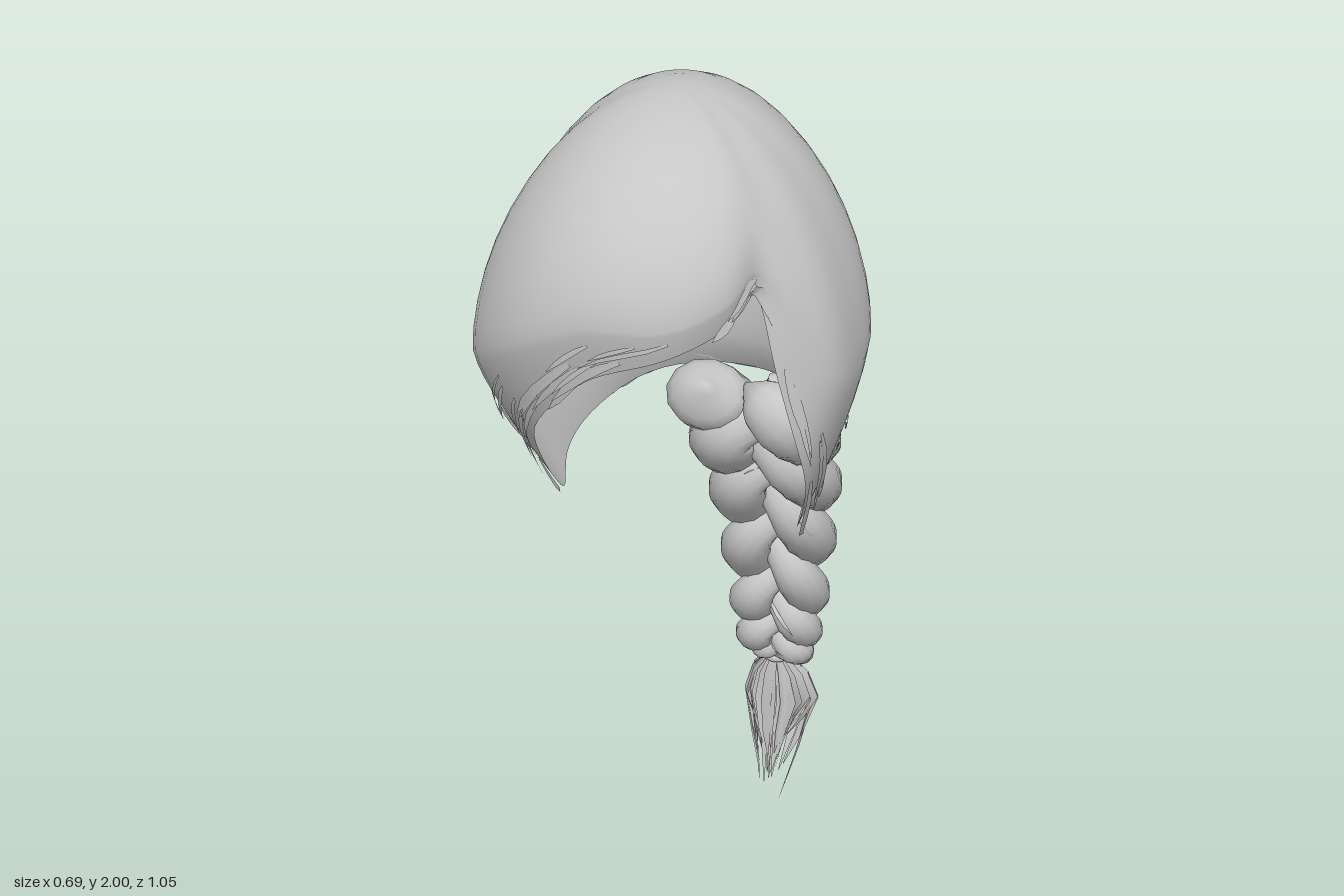
import * as THREE from 'three';
import { mergeVertices, mergeGeometries } from 'three/addons/utils/BufferGeometryUtils.js';

const V = (x, y, z) => new THREE.Vector3(x, y, z);
const lerp = THREE.MathUtils.lerp;
let seed = 7;
const rnd = (a = 0, b = 1) => {
  seed = (seed * 16807) % 2147483647;
  return a + (b - a) * seed / 2147483647;
};

// Skins a list of point rows into one smooth surface
function skin(rows, closed) {
  const n = rows[0].length, index = [];
  for (let i = 0; i < rows.length - 1; i++) {
    for (let j = 0; j < (closed ? n : n - 1); j++) {
      const k = (j + 1) % n, a = i * n + j, b = i * n + k, c = a + n, d = b + n;
      index.push(a, c, b, b, c, d);
    }
  }
  const g = new THREE.BufferGeometry().setFromPoints(rows.flat());
  g.setIndex(index);
  const m = mergeVertices(g, 1e-5);
  m.computeVertexNormals();
  return m;
}

// Thin blade of hair: a path tapering to a point, widened along `side`
function blade(path, width, side) {
  const n = path.length - 1;
  return skin(path.map((p, i) => {
    const w = width * (i === n ? 0.08 : Math.sin(0.5 + 2.3 * i / n));
    return [p.clone().addScaledVector(side, -w / 2), p.clone().addScaledVector(side, w / 2)];
  }), false);
}

// Cap columns: azimuth, radius and height at the widest point; azimuth, radius and height at the hem
const COLUMNS = [
  [-8, 0.38, 1.71, -8, 0.355, 1.6],
  [14, 0.372, 1.72, 14, 0.36, 1.66],
  [31, 0.345, 1.75, 31, 0.335, 1.7],
  [44, 0.305, 1.78, 43, 0.302, 1.74],
  [55, 0.342, 1.65, 48, 0.332, 1.58],
  [66, 0.366, 1.56, 57, 0.342, 1.38],
  [82, 0.354, 1.53, 77, 0.25, 1.17],
  [100, 0.348, 1.54, 100, 0.24, 1.19],
  [128, 0.34, 1.55, 132, 0.28, 1.21],
  [155, 0.36, 1.55, 158, 0.335, 1.22],
  [180, 0.37, 1.55, 180, 0.355, 1.22],
  [205, 0.36, 1.55, 202, 0.335, 1.22],
  [232, 0.338, 1.54, 228, 0.28, 1.21],
  [260, 0.333, 1.5, 260, 0.24, 1.19],
  [282, 0.343, 1.48, 283, 0.22, 1.17],
  [304, 0.38, 1.54, 306, 0.265, 1.3],
  [330, 0.39, 1.64, 329, 0.33, 1.46],
];
const N = COLUMNS.length;

// Smoothly interpolated column at a position around the head
function columnAt(f) {
  const i = Math.floor(f), t = f - i;
  const key = (k) => COLUMNS[((k % N) + N) % N]
    .map((v, c) => v + (c % 3 === 0 ? 360 * Math.floor(k / N) : 0));
  const [p, a, b, q] = [key(i - 1), key(i), key(i + 1), key(i + 2)];
  return a.map((v, c) => v + 0.5 * t * (b[c] - p[c]
    + t * (2 * p[c] - 5 * v + 4 * b[c] - q[c] + t * (3 * (v - b[c]) + q[c] - p[c]))));
}

// Point on the cap: s 0..1 runs crown to widest point, 1..2 on to the hem
function capPoint(f, s, lift = 0) {
  const [az, R, yE, hAz, hR, hY] = columnAt(f);
  const d = Math.max(0, s - 1), phi = Math.min(s, 1) * Math.PI / 2;
  const flare = 0.05 * Math.max(0, -Math.cos(az * Math.PI / 180)) ** 2 * d ** 6;
  const r = (d > 0 ? lerp(R, hR, d ** 1.35) + flare : R * Math.sin(phi)) + lift;
  const y = d > 0 ? lerp(yE, hY, d) : yE + (2 - yE) * Math.max(0, Math.cos(phi)) ** 1.15;
  const a = lerp(az, hAz, d) * Math.PI / 180;
  return V(0.005 + r * Math.sin(a), y, 0.15 + r * Math.cos(a));
}

function buildCap() {
  const rows = [];
  for (let i = 0; i <= 20; i++) {
    const s = i <= 12 ? i / 12 : 1 + (i - 12) / 8;
    rows.push(Array.from({ length: N * 5 }, (_, j) => capPoint(j / 5, s)));
  }
  return skin(rows, true);
}

// Loose slivers swept back along the lower cap and its hem
function buildCapWisps() {
  const list = [];
  for (let k = 0; k < 70; k++) {
    const f = rnd(0, N), s = rnd(1.3, 1.9), lift = rnd(0.001, 0.004);
    const sweep = rnd(0.5, 1.1) * (f > 4 && f < 10 ? 1 : -1);
    const path = [0, 1, 2, 3, 4].map((i) =>
      capPoint(f + sweep * i / 4, Math.min(2.03, s + i * 0.05), 0.002 + lift * i));
    const out = V(path[0].x, 0, path[0].z - 0.15).normalize();
    const along = path[4].clone().sub(path[0]).normalize();
    list.push(blade(path, rnd(0.008, 0.02), along.cross(out).normalize()));
  }
  return mergeGeometries(list);
}

// Centre line of the braid, nape to tie
const SPINE = new THREE.CatmullRomCurve3([
  V(0.05, 1.225, -0.17), V(0.06, 1.1, -0.22), V(0.066, 0.95, -0.29), V(0.058, 0.75, -0.365),
  V(0.05, 0.55, -0.415), V(0.044, 0.42, -0.44), V(0.038, 0.36, -0.457),
]);
const girth = (u) => lerp(1.2, 0.5, u) * Math.min(1, 0.18 + (1 - u) * 7);
const turn = (u, phase) => 4.5 * Math.PI * u * (0.75 + 0.25 * u) + phase;

function strandPoint(u, phase) {
  const g = girth(u), th = turn(u, phase);
  return SPINE.getPoint(u).add(V(0.08 * g * Math.sin(th),
    0.018 * g * Math.sin(2 * th), 0.046 * g * Math.sin(2 * th)));
}

// One braided strand, swelling where it turns at the outside
function buildStrand(phase) {
  const rows = [], steps = 80, sides = 12;
  for (let i = 0; i <= steps; i++) {
    const u = i / steps, p = strandPoint(u, phase);
    const tan = strandPoint(Math.min(1, u + 0.01), phase)
      .sub(strandPoint(Math.max(0, u - 0.01), phase)).normalize();
    const side = V(0, 0, 1).cross(tan).normalize(), depth = tan.clone().cross(side);
    const swell = 0.046 + 0.026 * Math.sin(turn(u, phase)) ** 2;
    const w = girth(u) * swell * Math.min(1, u * 22);
    rows.push(Array.from({ length: sides }, (_, j) => {
      const a = -j / sides * Math.PI * 2;
      return p.clone().addScaledVector(side, w * Math.cos(a))
        .addScaledVector(depth, w * 0.85 * Math.sin(a));
    }));
  }
  return skin(rows, true);
}

// Fine slivers standing just off the braid
function buildBraidWisps() {
  const list = [];
  for (let k = 0; k < 40; k++) {
    const u = rnd(0.03, 0.85), ph = Math.floor(rnd(0, 3)) * Math.PI * 2 / 3 - 0.2, a = rnd(0, 6.28);
    const out = V(Math.cos(a), 0, Math.sin(a));
    const path = [0, 1, 2, 3].map((i) => strandPoint(u + i * 0.03, ph)
      .addScaledVector(out, girth(u) * (0.055 + 0.003 * i)));
    list.push(blade(path, rnd(0.006, 0.014), V(-out.z, 0, out.x)));
  }
  return mergeGeometries(list);
}

// Tassel of ragged blades below the tie
function buildTassel() {
  const list = [];
  for (let k = 0; k < 60; k++) {
    const a = k * 2.4, full = rnd(0.35, 1), end = k === 0 ? 0 : rnd(0.03, 0.19);
    const c = Math.cos(a) * full, s = Math.sin(a) * full;
    const path = [
      V(0.038 + 0.018 * c, 0.375, -0.457 + 0.015 * s),
      V(0.038 + 0.065 * c, 0.32, -0.468 + 0.037 * s),
      V(0.038 + 0.088 * c, 0.25, -0.475 + 0.047 * s),
      V(0.036 + 0.06 * c, lerp(0.25, end, 0.55), -0.455 + 0.032 * s),
      V(0.036 + 0.03 * c, end, lerp(-0.4, -0.465, end / 0.19) + 0.015 * s),
    ];
    const twist = a + rnd(-0.7, 0.7);
    list.push(blade(path, rnd(0.018, 0.03), V(-Math.sin(twist), 0, Math.cos(twist))));
  }
  return mergeGeometries(list);
}

export function createModel() {
  const hair = new THREE.MeshStandardMaterial({ color: 0xc6c6c6, side: THREE.DoubleSide });
  hair.name = 'hairGrey';
  const model = new THREE.Group();
  model.name = 'braidedHair';
  const add = (name, geometry, parent = model) => {
    const mesh = new THREE.Mesh(geometry, hair);
    mesh.name = name;
    parent.add(mesh);
    return mesh;
  };

  add('hairCap', buildCap());
  add('capWisps', buildCapWisps());

  const braid = new THREE.Group();
  braid.name = 'braid';
  model.add(braid);
  for (let k = 0; k < 3; k++) add('braidStrand', buildStrand(k * Math.PI * 2 / 3 - 0.2), braid);
  add('braidWisps', buildBraidWisps(), braid);

  // Band holding the end of the braid
  const tie = add('braidTie', new THREE.TorusGeometry(0.02, 0.009, 8, 20), braid);
  tie.rotation.x = Math.PI / 2;
  tie.position.set(0.038, 0.368, -0.457);
  add('tassel', buildTassel(), braid);
  return model;
}
